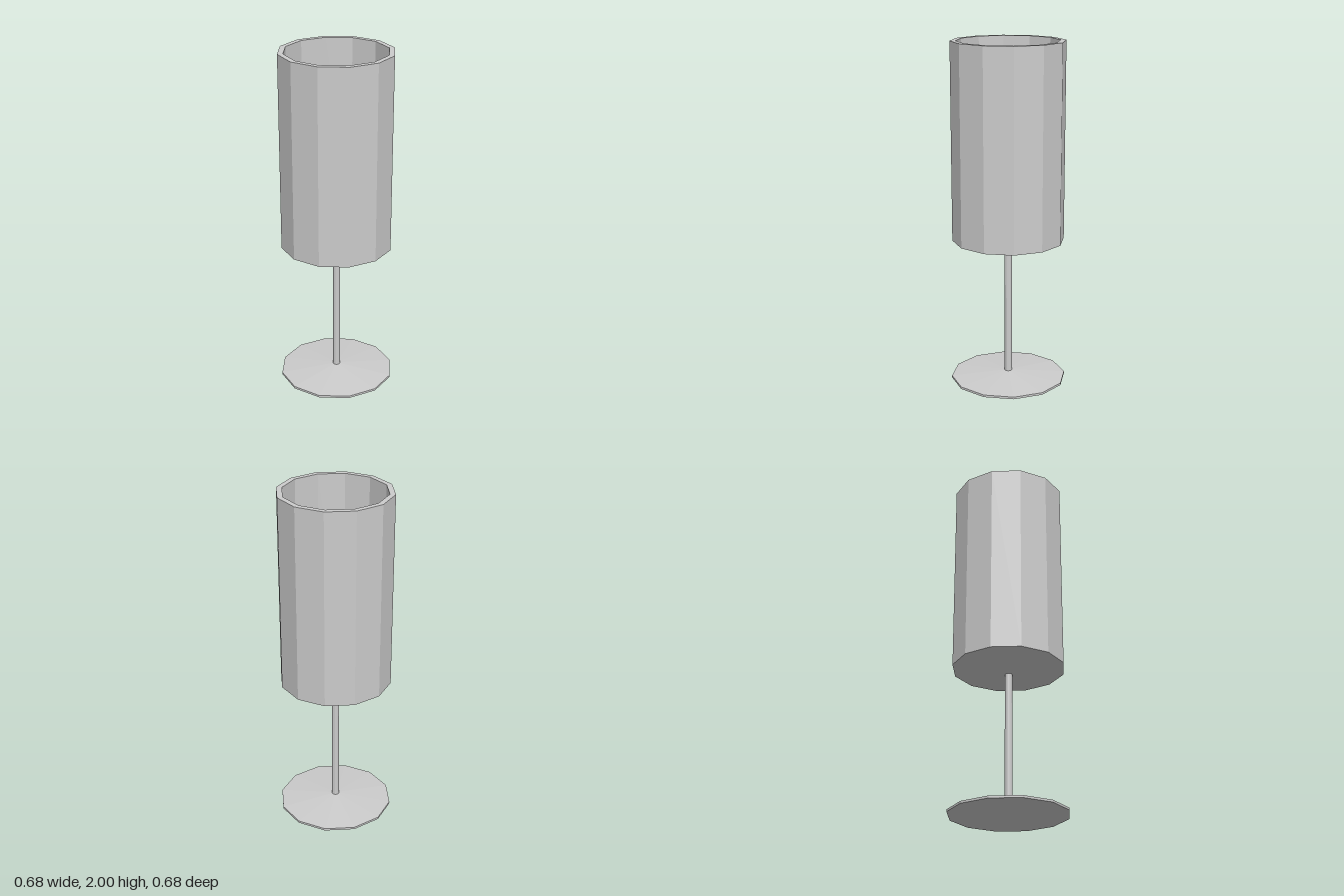
import * as THREE from 'three';

const SIDES = 12;

// Faceted turned part from [radius, height] pairs, listed bottom-outside first
function turned(name, profile, material) {
  const points = profile.map(([r, y]) => new THREE.Vector2(r, y));
  const mesh = new THREE.Mesh(new THREE.LatheGeometry(points, SIDES), material);
  mesh.name = name;
  return mesh;
}

export function createModel() {
  const group = new THREE.Group();
  group.name = 'stemmedGlass';
  const material = new THREE.MeshStandardMaterial({ color: 0xcccccc, flatShading: true });

  // Flat-bottomed foot with a shallow conical top
  group.add(turned('foot', [[0, 0], [0.338, 0], [0.338, 0.013], [0.022, 0.038], [0, 0.038]], material));

  // Slim stem, running into the foot and the underside of the bowl
  group.add(turned('stem', [[0.022, 0.03], [0.022, 0.835]], material));

  // Straight-walled hollow bowl: outer shell, rim, then inner wall and floor
  group.add(turned('bowl', [
    [0, 0.82], [0.325, 0.855], [0.325, 2],
    [0.293, 2], [0.293, 0.885], [0, 0.852],
  ], material));

  return group;
}
